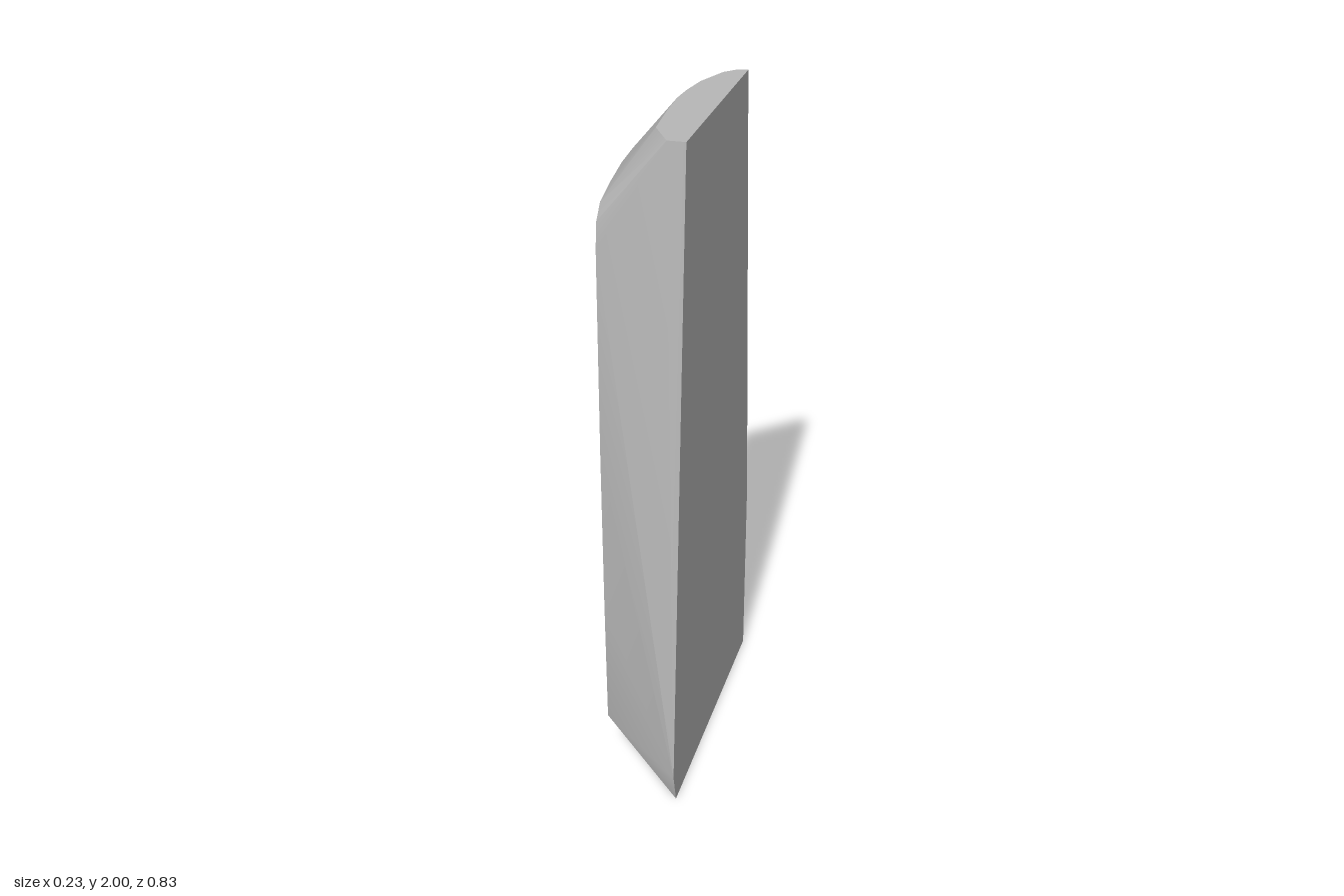
import * as THREE from 'three';
import { ConvexGeometry } from 'three/addons/geometries/ConvexGeometry.js';
import { toCreasedNormals } from 'three/addons/utils/BufferGeometryUtils.js';

export function createModel() {
  const group = new THREE.Group();
  const grey = new THREE.MeshStandardMaterial({ color: 0xb8b8b8 });
  grey.name = 'plain grey';

  const half = 0.117;
  const points = [];
  const add = (x, y, z) => points.push(new THREE.Vector3(x, y, z));

  // Broad flat face, outline as [y, z]
  [[0, 0.39], [0.1, 0.415], [2, 0.303], [2, -0.303], [0.6, -0.415], [0, -0.415]]
    .forEach(([y, z]) => add(half, y, z));

  // Narrower opposite face with arched top and cut lower front corner, [y, z]
  [[0, -0.13], [0.01, -0.1], [0.2, 0.312], [0.6, 0.318], [1.1, 0.319], [1.7, 0.312], [1.77, 0.302], [1.81, 0.27],
    [1.835, 0.18], [1.852, 0.09], [1.858, 0], [1.852, -0.1], [1.835, -0.2], [1.8, -0.285],
    [1.75, -0.312], [1.67, -0.322], [1.1, -0.333], [0.5, -0.34], [0, -0.342]]
    .forEach(([y, z]) => add(-half, y, z));

  // Bowed edge of the flat top, [x, z]
  [[0.088, -0.297], [0.057, -0.265], [0.02, -0.17], [0.006, -0.09], [0, -0.02],
    [0.004, 0.08], [0.015, 0.22], [0.068, 0.305]]
    .forEach(([x, z]) => add(x, 2, z));

  // Bowed front edge of the base, [x, z]
  [[-0.08, -0.01], [-0.02, 0.14], [0.05, 0.28]]
    .forEach(([x, z]) => add(x, 0, z));

  const slab = new THREE.Mesh(toCreasedNormals(new ConvexGeometry(points), 0.3), grey);
  slab.name = 'slab';
  group.add(slab);
  return group;
}
